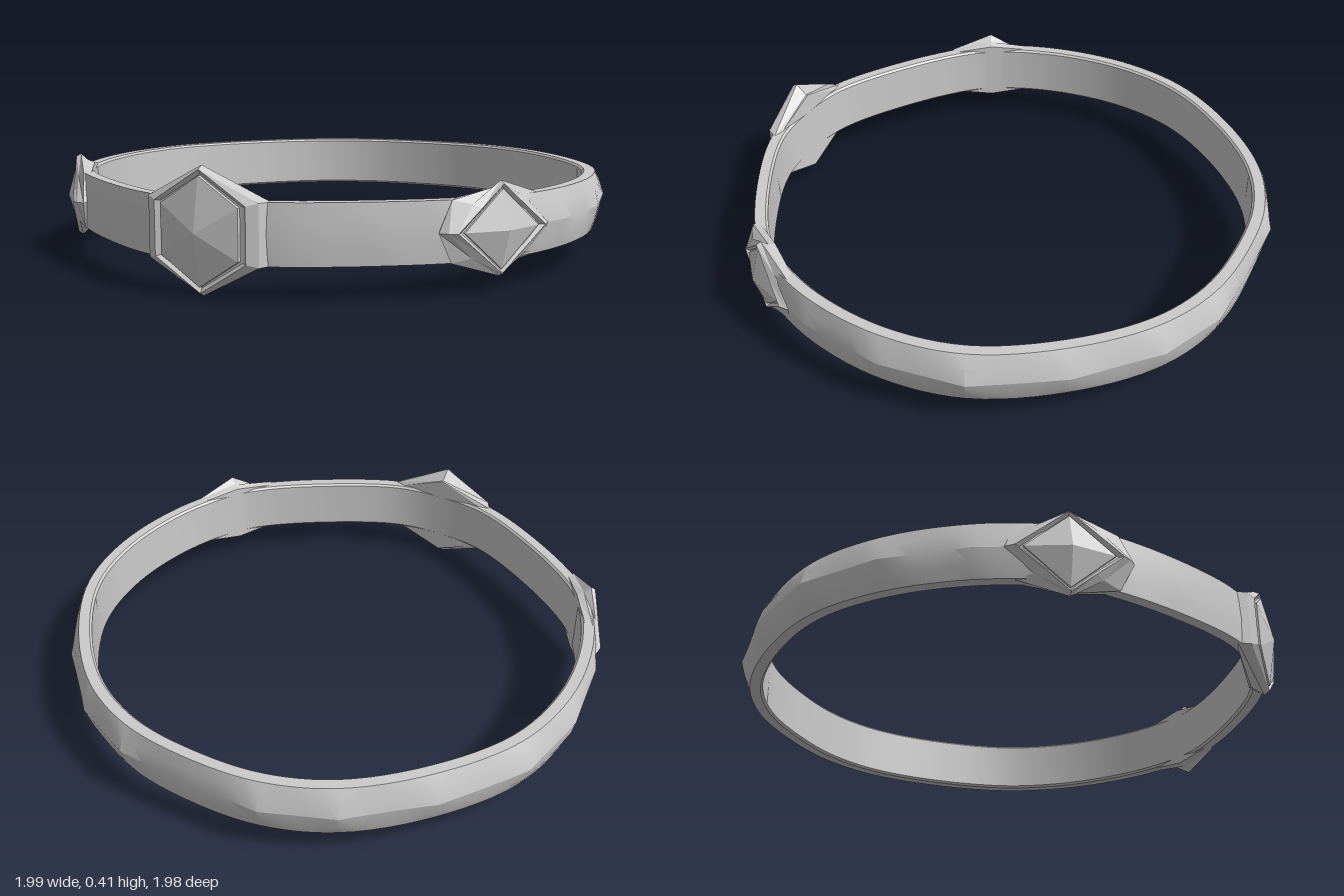
import * as THREE from 'three';
import { toCreasedNormals } from 'three/addons/utils/BufferGeometryUtils.js';

const MID_Y = 0.212;
const HALF_H = 0.1;

// Skin a list of closed rings; wrap joins the last ring back to the first.
function skin(rings, wrap, crease) {
  const n = rings[0].length;
  const index = [];
  const last = wrap ? rings.length : rings.length - 1;
  for (let i = 0; i < last; i++) {
    const k = (i + 1) % rings.length;
    for (let j = 0; j < n; j++) {
      const m = (j + 1) % n;
      const a = i * n + j, b = i * n + m, c = k * n + m, d = k * n + j;
      index.push(a, b, c, a, c, d);
    }
  }
  const g = new THREE.BufferGeometry();
  g.setAttribute('position', new THREE.Float32BufferAttribute(rings.flat(2), 3));
  g.setIndex(index);
  return toCreasedNormals(g, crease);
}

// Half outlines from back to front, paired point by point: [x, z].
const INNER = [[0, -0.93], [0.25, -0.905], [0.47, -0.81], [0.69, -0.61], [0.86, -0.35], [0.915, -0.08],
  [0.885, 0.2], [0.8, 0.42], [0.71, 0.54], [0.48, 0.715], [0.2, 0.86], [0, 0.885]];
const RIDGE = [[0, -0.99], [0.27, -0.985], [0.52, -0.88], [0.78, -0.64], [0.95, -0.37], [0.995, -0.07],
  [0.95, 0.24], [0.87, 0.45], [0.77, 0.57], [0.52, 0.755], [0.22, 0.905], [0, 0.935]];

const mirrored = (half) => [...half, ...half.slice(1, -1).reverse().map(([x, z]) => [-x, z])]
  .map(([x, z]) => new THREE.Vector3(x, 0, z));

// Band: smooth inside, faceted ridge outside.
function bandGeometry() {
  const inner = mirrored(INNER), ridge = mirrored(RIDGE);
  const count = inner.length, sub = 6;
  const curve = new THREE.CatmullRomCurve3(inner, true, 'centripetal');
  const rings = [];
  for (let i = 0; i < count * sub; i++) {
    const k = Math.floor(i / sub);
    const p = curve.getPoint(i / (count * sub));
    const out = ridge[k].clone().lerp(ridge[(k + 1) % count], (i % sub) / sub);
    const dir = p.clone().normalize();
    const bulge = Math.max(out.clone().sub(p).dot(dir), 0.052);
    const rim = 0.047;
    // [distance outwards, height] around the section
    const section = [[0, -0.92], [0.008, -1], [rim, -1], [rim + (bulge - rim) * 0.6, -0.55], [bulge, 0],
      [rim + (bulge - rim) * 0.6, 0.55], [rim, 1], [0.008, 1], [0, 0.92]];
    rings.push(section.map(([d, h]) => [p.x + dir.x * d, MID_Y + h * HALF_H, p.z + dir.z * d]));
  }
  return skin(rings, true, 0.3);
}

// Outlines, counter-clockwise seen from the front.
const hexagon = (w, s, h) => [[w, -s], [w, s], [0, h], [-w, s], [-w, -s], [0, -h]];
const octagon = (w, a, b, h) => [[w, 0], [a, b], [0, h], [-a, b], [-w, 0], [-a, -b], [0, -h], [a, -b]];
const diamond = (w, h) => [[w, 0], [0, h], [-w, 0], [0, -h]];
const at = (outline, z) => outline.map(([x, y]) => [x, y, z]);
const point = (outline, z) => outline.map(() => [0, 0, z]);
const stack = (layers) => skin(layers, false, 0.05);

export function createModel() {
  const model = new THREE.Group();
  const material = new THREE.MeshStandardMaterial({ color: 0xcccccc });
  const add = (parent, name, geometry) => {
    const mesh = new THREE.Mesh(geometry, material);
    mesh.name = name;
    parent.add(mesh);
  };

  add(model, 'band', bandGeometry());

  // Large front jewel in a six-sided mount
  const front = new THREE.Group();
  front.name = 'frontJewel';
  front.position.set(0, MID_Y, 0.885);
  const hex = hexagon(0.18, 0.1, 0.17);
  add(front, 'frontMount', stack([
    point(hex, 0), at(hex, 0), at(hexagon(0.22, 0.1, 0.17), 0.008), at(hexagon(0.2, 0.1, 0.207), 0.05),
    at(hexagon(0.165, 0.09, 0.195), 0.07), at(hexagon(0.15, 0.087, 0.18), 0.06), point(hex, 0.06),
  ]));
  const stone = hexagon(0.14, 0.083, 0.175);
  add(front, 'frontStone', stack([at(stone, 0.05), at(stone, 0.073), point(stone, 0.105)]));
  model.add(front);

  // Smaller diamond jewels on both sides
  for (const [side, name] of [[1, 'left'], [-1, 'right']]) {
    const jewel = new THREE.Group();
    jewel.name = name + 'Jewel';
    jewel.position.set(side * 0.795, MID_Y, 0.475);
    jewel.rotation.y = side * Math.atan2(0.84, 0.54);
    const base = octagon(0.2, 0.15, 0.1, 0.12);
    add(jewel, name + 'Mount', stack([
      point(base, -0.025), at(base, -0.025), at(octagon(0.22, 0.17, 0.1, 0.13), 0),
      at(octagon(0.2, 0.11, 0.085, 0.153), 0.025), at(octagon(0.175, 0.085, 0.073, 0.143), 0.042),
      at(octagon(0.158, 0.077, 0.066, 0.133), 0.03), point(base, 0.03),
    ]));
    const gem = diamond(0.148, 0.128);
    add(jewel, name + 'Stone', stack([at(gem, 0.02), at(gem, 0.038), point(gem, 0.075)]));
    model.add(jewel);
  }
  return model;
}
